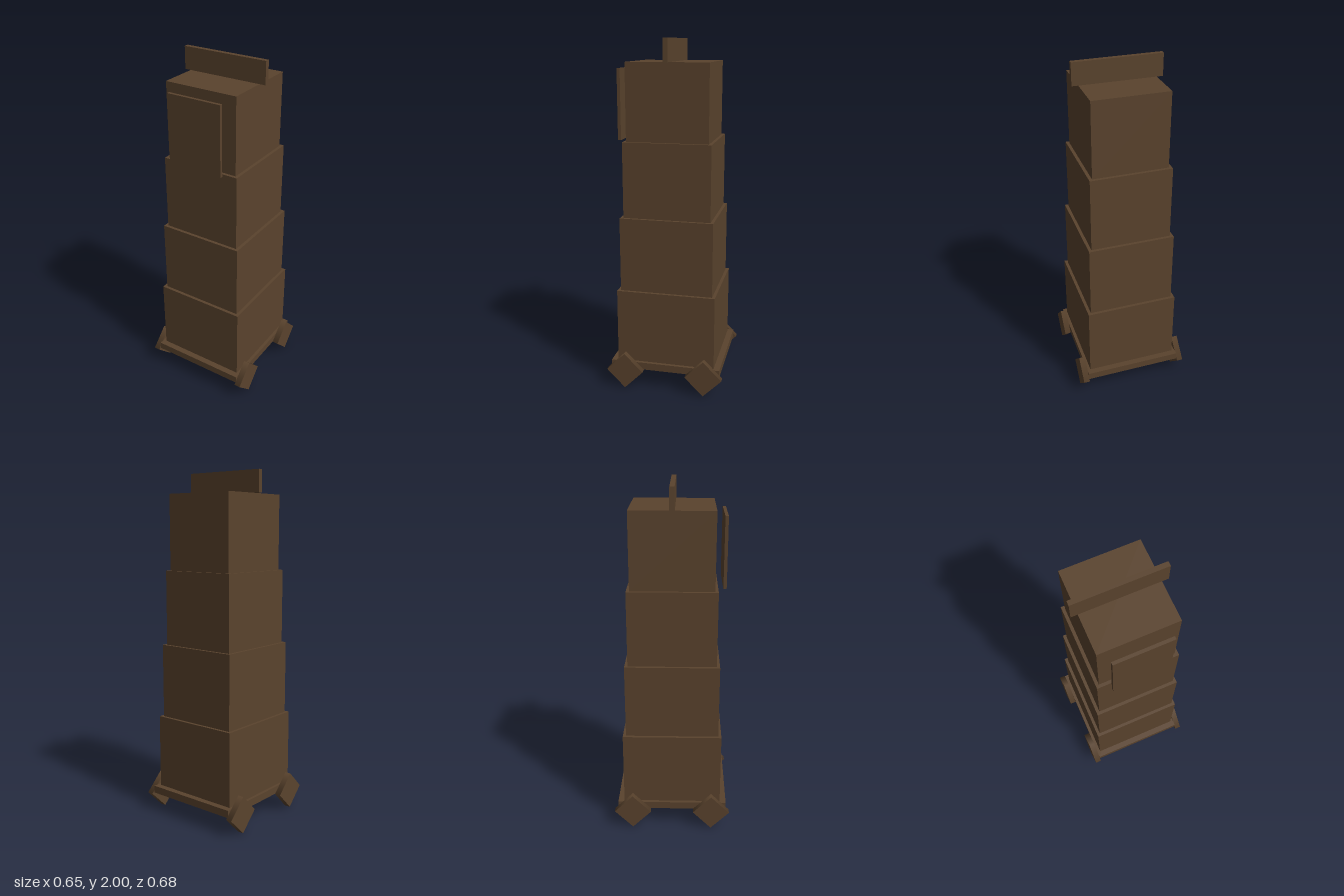
import * as THREE from 'three';

export function createModel() {
  const model = new THREE.Group();
  const wood = new THREE.MeshStandardMaterial({ color: 0x5a432d });
  wood.name = 'darkWood';

  const add = (name, geometry, x, y, z) => {
    const mesh = new THREE.Mesh(geometry, wood);
    mesh.name = name;
    mesh.position.set(x, y, z);
    model.add(mesh);
    return mesh;
  };
  const box = (name, w, h, d, y, z = 0) =>
    add(name, new THREE.BoxGeometry(w, h, d), 0, y, z);

  // Base platform
  box('basePlatform', 0.574, 0.043, 0.644, 0.131);

  // Four storeys, each a little narrower than the one below
  const storey = 0.4306;
  for (let i = 0; i < 4; i++) {
    box(`storey${i + 1}`, 0.536 - i * 0.0358, storey, 0.572 - i * 0.0358,
      0.1525 + storey * (i + 0.5));
  }

  // Raised drawbridge panel standing off the front of the top storey
  box('drawbridge', 0.322, 0.394, 0.018, 1.642, 0.286);

  // Parapet board across the roof
  box('parapet', 0.5, 0.125, 0.027, 1.9375);

  // Four-sided wheels standing on their points, smooth round the rim
  const wheel = new THREE.CylinderGeometry(0.1075, 0.1075, 0.036, 4);
  wheel.rotateZ(Math.PI / 2);
  for (const [side, sx] of [['Left', 1], ['Right', -1]]) {
    for (const [end, sz] of [['front', 1], ['back', -1]]) {
      add(`${end}${side}Wheel`, wheel, sx * 0.305, 0.1075, sz * 0.233);
    }
  }
  return model;
}
